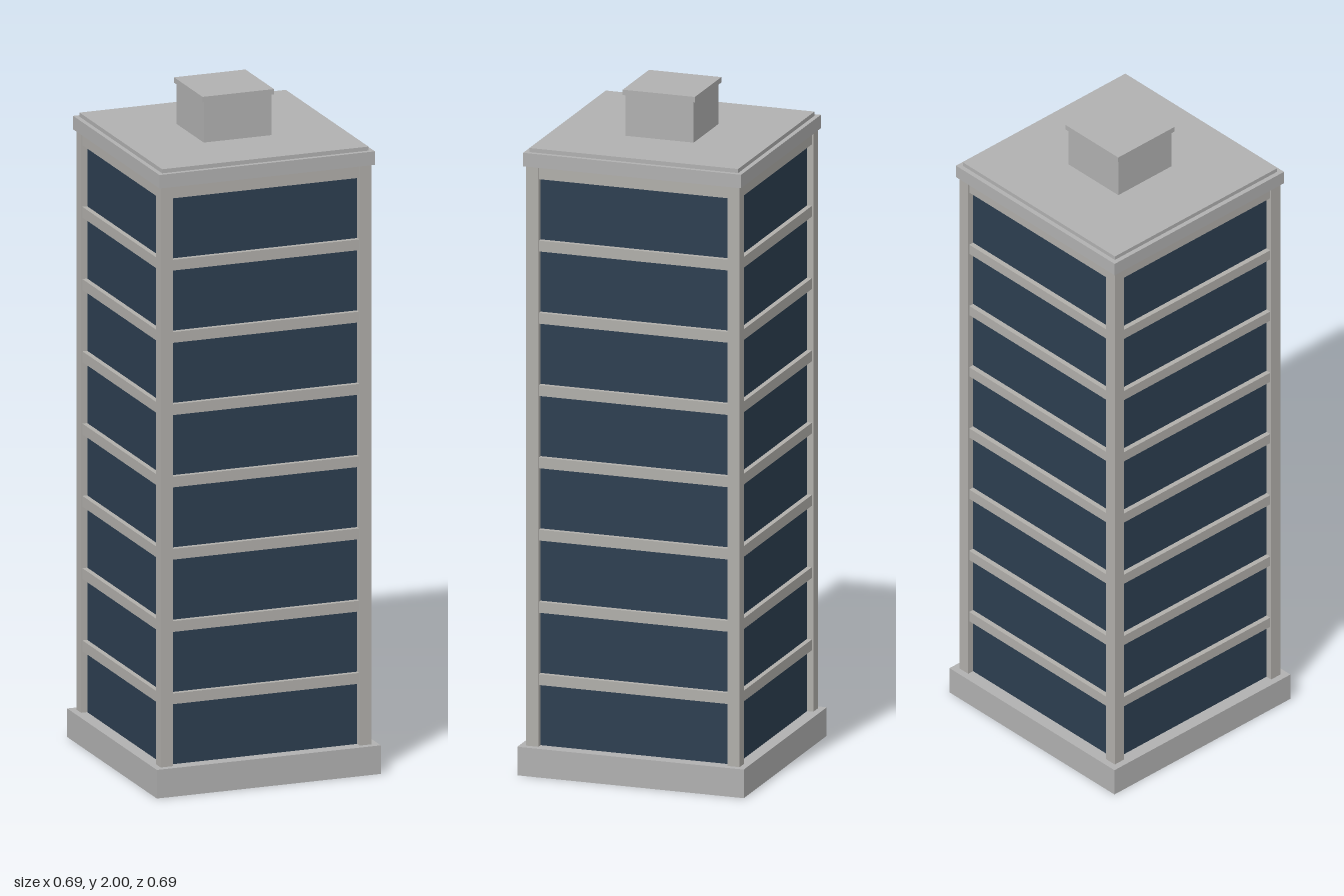
import * as THREE from 'three';

const mat = (name, color) => {
  const m = new THREE.MeshStandardMaterial({ color });
  m.name = name;
  return m;
};

export function createModel() {
  const tower = new THREE.Group();
  tower.name = 'officeTower';
  const concrete = mat('grey concrete', 0xb0b0b0);
  const frame = mat('warm grey frame', 0xb0aeaa);
  const glass = mat('dark blue glass', 0x2c3e50);

  // Box given by width, depth, and its bottom and top heights
  const block = (name, material, w, d, y0, y1, x = 0, z = 0) => {
    const mesh = new THREE.Mesh(new THREE.BoxGeometry(w, y1 - y0, d), material);
    mesh.position.set(x, (y0 + y1) / 2, z);
    mesh.name = name;
    tower.add(mesh);
  };

  const floors = 8, pitch = 0.215, base = 0.085, slab = 0.032;
  const half = 0.325, post = 0.037;
  const bodyTop = 1.81;

  // Plinth
  block('plinth', concrete, 0.69, 0.69, 0, base);

  // Corner posts
  const c = half - post / 2;
  for (const sx of [-1, 1]) for (const sz of [-1, 1])
    block('cornerPost', frame, post, post, base, bodyTop, sx * c, sz * c);

  // Recessed glass storeys with a projecting slab above each
  for (let i = 0; i < floors; i++) {
    const y = base + i * pitch, top = y + pitch - slab;
    block('glassStorey', glass, 0.612, 0.612, y, top);
    block('floorSlab', frame, 0.642, 0.642, top, i === floors - 1 ? bodyTop : y + pitch);
  }

  // Cornice and roof deck
  block('cornice', concrete, 0.664, 0.664, bodyTop, 1.85);
  block('roofDeck', concrete, 0.636, 0.636, 1.85, 1.862);

  // Rooftop plant room with overhanging cap
  block('plantRoom', concrete, 0.208, 0.208, 1.862, 1.984);
  block('plantRoomCap', concrete, 0.22, 0.22, 1.984, 2);

  return tower;
}
